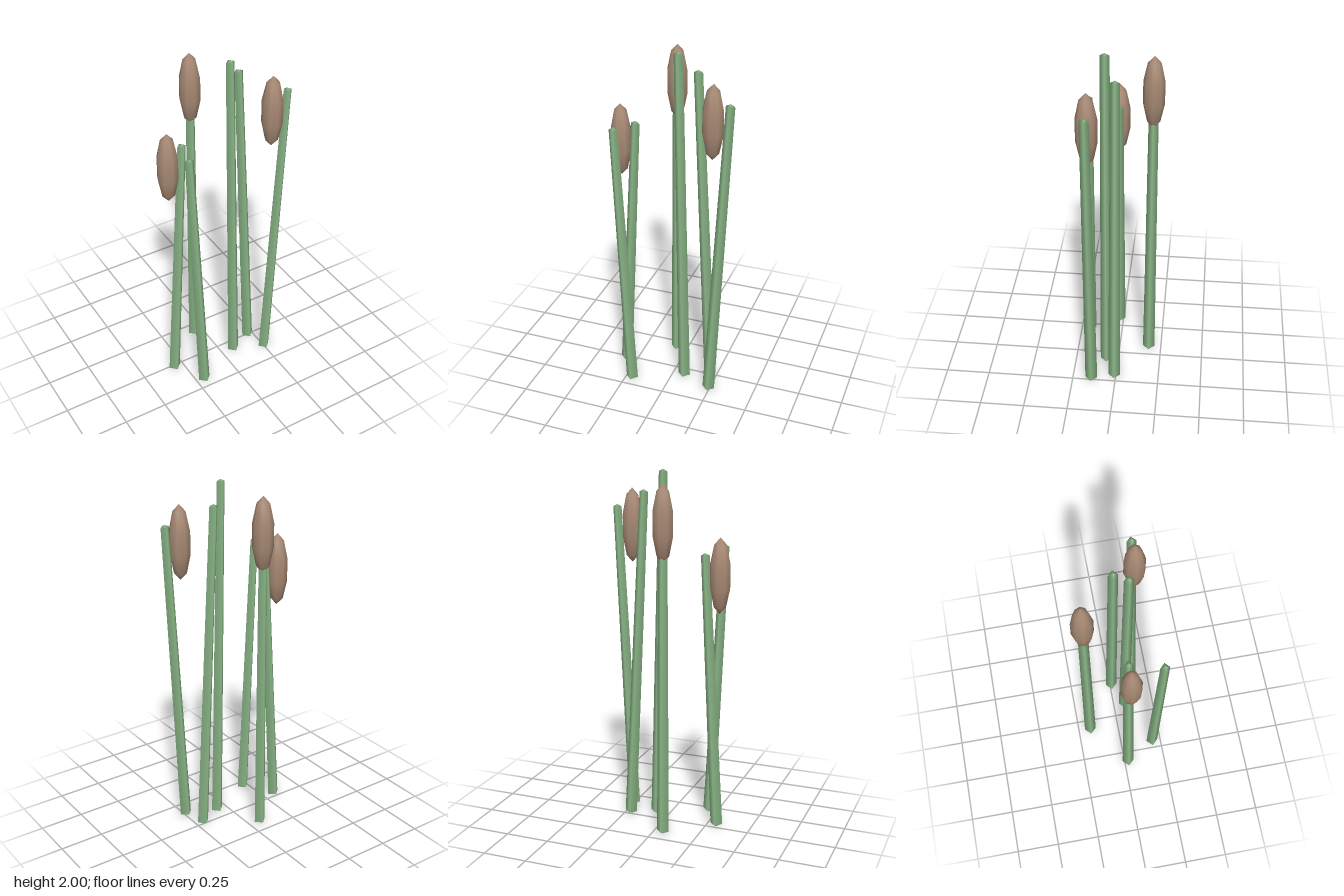
import * as THREE from 'three';

const green = new THREE.MeshStandardMaterial({ color: 0x8dba8a });
const brown = new THREE.MeshStandardMaterial({ color: 0xa88a74 });

// x and z of the foot, x of the tip, height of the tip, height of the seed head's centre
const reeds = [
  { x: -0.31, z: 0.022, tipX: -0.225, top: 1.57, head: 1.452 },
  { x: -0.205, z: 0.195, tipX: -0.28, top: 1.595 },
  { x: -0.06, z: -0.177, tipX: -0.06, top: 1.86, head: 1.745 },
  { x: 0.073, z: 0.068, tipX: 0.033, top: 2 },
  { x: 0.213, z: 0.008, tipX: 0.12, top: 1.895 },
  { x: 0.245, z: 0.14, tipX: 0.335, top: 1.79, head: 1.678 },
];

// Four-sided tapering stalk with shallow pointed ends, leaning sideways
function makeStem({ x, z, tipX, top }) {
  const length = Math.hypot(tipX - x, top);
  const profile = [[0, 0], [0.035, 0.017], [0.025, length - 0.013], [0, length]];
  const geometry = new THREE.LatheGeometry(profile.map(([r, y]) => new THREE.Vector2(r, y)), 4);
  const stem = new THREE.Mesh(geometry, green);
  stem.name = 'stem';
  stem.position.set(x, 0, z);
  stem.rotation.z = -Math.atan2(tipX - x, top);
  return stem;
}

// Upright seed head: a low-sided sphere stretched upwards
function makeHead({ x, z, head }) {
  const geometry = new THREE.SphereGeometry(0.06, 8, 5);
  geometry.scale(1, 3.45, 1);
  const mesh = new THREE.Mesh(geometry, brown);
  mesh.name = 'seedHead';
  mesh.position.set(x, head, z);
  return mesh;
}

export function createModel() {
  const model = new THREE.Group();
  model.name = 'reeds';
  for (const data of reeds) {
    const reed = new THREE.Group();
    reed.name = 'reed';
    reed.add(makeStem(data));
    if (data.head) reed.add(makeHead(data));
    model.add(reed);
  }
  return model;
}
